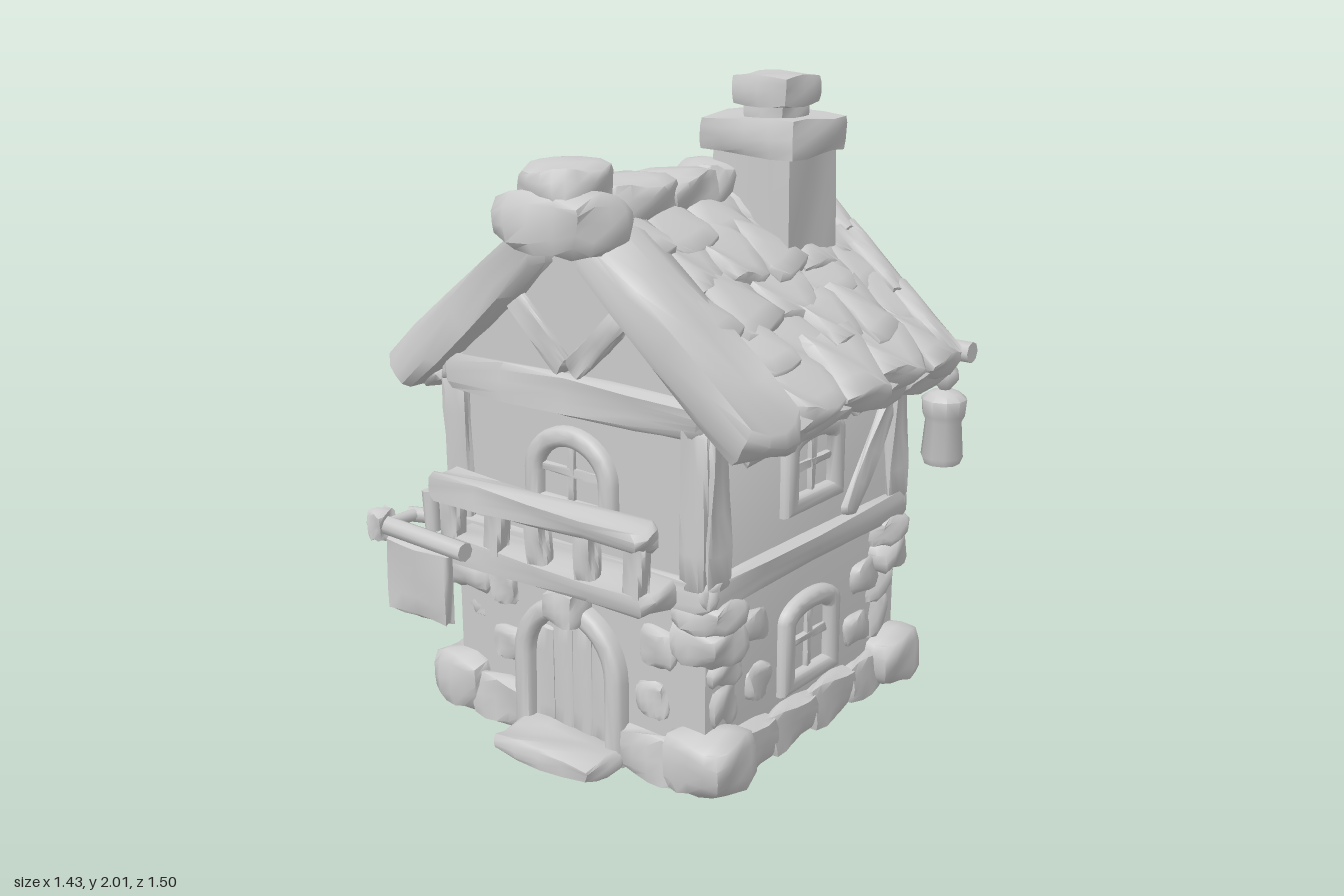
import * as THREE from 'three';
import { toCreasedNormals } from 'three/addons/utils/BufferGeometryUtils.js';

const grey = new THREE.MeshStandardMaterial({ color: 0xcccccc });
let seed = 1;
const rand = () => { // small seeded generator
  seed = (seed * 16807) % 2147483647;
  return seed / 2147483647;
};
const spread = (a) => (rand() * 2 - 1) * a;

function add(parent, name, geo, pos = [0, 0, 0], rot = [0, 0, 0]) {
  const m = new THREE.Mesh(toCreasedNormals(geo, 1), grey);
  m.name = name;
  m.position.set(...pos);
  m.rotation.set(...rot);
  parent.add(m);
  return m;
}

// Hand-hewn block: a box pulled towards a superellipsoid, gently warped
function block(parent, name, size, pos, { r = 0.7, j = 0.012, rot } = {}) {
  const geo = new THREE.BoxGeometry(2, 2, 2, 4, 4, 4);
  const p = geo.attributes.position, s = rand() * 50;
  const warp = Math.min(j, Math.min(...size) * 0.12);
  for (let i = 0; i < p.count; i++) {
    const v = [p.getX(i), p.getY(i), p.getZ(i)];
    const n = Math.pow(v[0] ** 4 + v[1] ** 4 + v[2] ** 4, 0.25);
    const k = 1 - r + r / n;
    const out = v.map((c, a) =>
      c * k * size[a] / 2 + Math.sin(v[0] * 2.1 + v[1] * 1.7 + v[2] * 2.6 + a * 9.2 + s) * warp);
    p.setXYZ(i, ...out);
  }
  return add(parent, name, geo, pos, rot);
}

// Beam between two points of an upright plane
function beam(parent, name, [x1, y1], [x2, y2], z, thick, depth, opt = {}) {
  return block(parent, name, [Math.hypot(x2 - x1, y2 - y1), thick, depth],
    [(x1 + x2) / 2, (y1 + y2) / 2, z],
    { r: 0.4, j: 0.008, ...opt, rot: [0, 0, Math.atan2(y2 - y1, x2 - x1)] });
}

function rod(parent, name, a, b, radius) {
  const from = new THREE.Vector3(...a), to = new THREE.Vector3(...b);
  const m = add(parent, name, new THREE.CylinderGeometry(radius, radius, from.distanceTo(to), 8));
  m.position.copy(from).lerp(to, 0.5);
  m.quaternion.setFromUnitVectors(new THREE.Vector3(0, 1, 0), to.sub(from).normalize());
}

function archPath(path, w, y0, y1, rise) {
  path.moveTo(-w / 2, y0);
  path.lineTo(w / 2, y0);
  path.lineTo(w / 2, y1 - rise);
  path.absellipse(0, y1 - rise, w / 2, rise, 0, Math.PI, false);
  path.closePath();
  return path;
}

function archFrame(parent, name, w, h, rise, border, sill, pos, depth) {
  const b = 0.02;
  const shape = archPath(new THREE.Shape(), w - 2 * b, b, h - b, rise);
  shape.holes.push(archPath(new THREE.Path(), w - 2 * (border - b), sill - b, h - border + b, rise * 0.85));
  add(parent, name, new THREE.ExtrudeGeometry(shape, {
    depth: depth - 2 * b, bevelSize: b, bevelThickness: b, bevelSegments: 2, curveSegments: 8,
  }), pos);
}

function windowUnit(parent, y, w, h, rise) {
  const g = new THREE.Group();
  g.name = 'window';
  g.position.set(0, y, 0);
  parent.add(g);
  archFrame(g, 'windowFrame', w, h, rise, 0.062, 0.055, [0, 0, -0.02], 0.075);
  block(g, 'windowMullion', [0.025, h - 0.1, 0.02], [0, h / 2, 0.005], { r: 0.2, j: 0.002 });
  block(g, 'windowCrossbar', [w - 0.12, 0.025, 0.02], [0, h / 2, 0.005], { r: 0.2, j: 0.002 });
}

function buildWalls(house) {
  const s = new THREE.Shape();
  [[-0.49, 0.01], [0.49, 0.01], [0.49, 1.14], [0, 1.58], [-0.49, 1.14]]
    .forEach(([x, y], i) => (i ? s.lineTo(x, y) : s.moveTo(x, y)));
  add(house, 'wallCore', new THREE.ExtrudeGeometry(s, { depth: 1.03, bevelEnabled: false }), [0, 0, -0.54]);

  // Each face: rotation, centre and half width
  const faces = [
    ['front', 0, [0, 0, 0.49], 0.49], ['leftSide', Math.PI / 2, [0.49, 0, -0.025], 0.515],
    ['back', Math.PI, [0, 0, -0.54], 0.49], ['rightSide', -Math.PI / 2, [-0.49, 0, -0.025], 0.515],
  ];
  for (const [name, turn, pos, half] of faces) {
    const f = new THREE.Group();
    f.name = name + 'Wall';
    f.position.set(...pos);
    f.rotation.y = turn;
    house.add(f);
    const gable = name === 'front' || name === 'back';
    beam(f, 'beltBeam', [-half - 0.035, 0.62], [half + 0.035, 0.62], 0, 0.09, 0.075, { j: 0.005 });
    beam(f, 'topBeam', [-half - 0.02, 1.13], [half + 0.02, 1.13], 0, 0.11, 0.08);
    if (!gable) {
      const d = name === 'leftSide' ? 1 : -1;
      beam(f, 'wallBrace', [d * 0.2, 0.66], [d * 0.47, 1.02], 0.005, 0.07, 0.04);
    } else {
      for (const d of [-1, 1]) beam(f, 'gableBrace', [d * 0.01, 1.2], [d * 0.22, 1.4], 0.005, 0.07, 0.05);
    }
    for (const d of [-1, 1]) beam(f, 'cornerPost', [d * (half - 0.03), 0.62], [d * (half - 0.03), 1.12], 0, 0.09, 0.06);
    windowUnit(f, 0.75, gable ? 0.35 : 0.31, 0.28, gable ? 0.13 : 0.045);
    if (name !== 'front') windowUnit(f, 0.17, 0.31, 0.31, 0.055);

    // Plinth stones and scattered wall stones
    const n = 4, w = (2 * half - 0.16) / n;
    for (let i = 0; i < n; i++) {
      const x = (i - (n - 1) / 2) * w;
      if (name === 'front' && Math.abs(x) < 0.15) continue;
      block(f, 'plinthStone', [w * 1.12, 0.14 + spread(0.015), 0.09], [x, 0.072, 0], { r: 0.5, j: 0.008 });
    }
    for (const [x, y] of [[-0.26, 0.27], [-0.29, 0.46], [0.28, 0.25], [0.31, 0.42]]) {
      block(f, 'wallStone', [0.13 + spread(0.02), 0.11 + spread(0.015), 0.05], [x + spread(0.02), y, 0],
        { r: 1, rot: [0, 0, spread(0.2)] });
    }
  }

  // Stacked corner stones: centre height, height, width, inset from the corner
  for (const sx of [-1, 1]) for (const sz of [-1, 1]) {
    for (const [y, h, w, inset] of [[0.095, 0.185, 0.23, 0], [0.25, 0.15, 0.15, 0.045], [0.36, 0.1, 0.17, 0.045],
      [0.46, 0.12, 0.19, 0.02], [0.55, 0.09, 0.19, 0.02]]) {
      block(house, 'cornerStone', [w, h, w], [sx * (0.475 - inset), y, sz * (0.47 - inset) - 0.025],
        { r: 0.95, j: 0.009, rot: [0, spread(0.15), 0] });
    }
  }
}

function buildDoor(house) {
  archFrame(house, 'doorArch', 0.43, 0.49, 0.2, 0.065, 0.05, [-0.01, 0, 0.46], 0.1);
  for (let i = 0; i < 4; i++) {
    const h = i % 3 ? 0.42 : 0.36;
    block(house, 'doorPlank', [0.077, h, 0.03], [-0.125 + i * 0.077, h / 2 + 0.01, 0.485], { r: 0.15, j: 0.003 });
  }
  block(house, 'keystone', [0.12, 0.1, 0.13], [0, 0.48, 0.52], { r: 0.4, j: 0.006 });
  block(house, 'doorstep', [0.4, 0.055, 0.2], [0.01, 0.032, 0.585], { r: 0.4, j: 0.008 });
}

function buildRoof(house) {
  const roof = new THREE.Group();
  roof.name = 'roof';
  house.add(roof);
  const s = new THREE.Shape();
  [[-0.63, 1.07], [0, 1.6], [0.63, 1.07], [0.64, 1.12], [0, 1.68], [-0.64, 1.12]]
    .forEach(([x, y], i) => (i ? s.lineTo(x, y) : s.moveTo(x, y)));
  add(roof, 'roofBoards', new THREE.ExtrudeGeometry(s, { depth: 1.1, bevelEnabled: false }), [0, 0, -0.6]);

  // Overlapping shingles in staggered rows
  const slope = Math.atan2(0.58, 0.66), rows = 5;
  for (const d of [-1, 1]) {
    for (let row = 0; row < rows; row++) {
      const x = 0.555 - row * 0.115, y = 1.168 + (0.565 - x) * 0.87, n = 5 + (row % 2);
      for (let i = 0; i < n; i++) {
        const w = 1.09 / n;
        block(roof, 'shingle', [0.25 + spread(0.035), 0.085, w * 1.12],
          [d * (x + spread(0.02)), y + spread(0.008), -0.61 + w * (i + 0.5)],
          { r: 0.7, j: 0.01, rot: [spread(0.06), spread(0.2), -d * (slope - 0.08)] });
      }
    }
    // Back verge boards
    for (let i = 0; i < 3; i++) {
      beam(roof, 'backVerge', [d * (0.65 - i * 0.2), 1.1 + i * 0.172], [d * (0.41 - i * 0.2), 1.31 + i * 0.172],
        -0.565, 0.12, 0.1, { r: 0.5 });
    }
    // Thick eave edge
    for (let i = 0; i < 4; i++) {
      block(roof, 'eaveStone', [0.12, 0.09, 0.3], [d * (0.59 + spread(0.01)), 1.1, -0.46 + i * 0.27],
        { r: 0.5, j: 0.008, rot: [0, spread(0.05), -d * 0.6] });
    }
    // Heavy front verge rolls
    beam(roof, 'frontVerge', [d * 0.69, 1.07], [d * 0.08, 1.585], d < 0 ? 0.45 : 0.43, 0.14, 0.27, { r: 0.6, j: 0.012 });
  }

  // Ridge caps and front finial
  for (const [z, l, w, y] of [[-0.56, 0.22, 0.24, 1.635], [-0.36, 0.24, 0.2, 1.64], [-0.15, 0.16, 0.17, 1.665],
    [0, 0.24, 0.19, 1.655], [0.25, 0.32, 0.21, 1.66]]) {
    block(roof, 'ridgeCap', [w, 0.13, l], [0, y, z], { r: 0.7 });
  }
  block(roof, 'ridgeFinial', [0.38, 0.17, 0.28], [-0.01, 1.645, 0.51], { r: 1, j: 0.015 });
  block(roof, 'finialTop', [0.21, 0.13, 0.23], [0, 1.735, 0.5], { r: 0.8 });
}

function buildChimney(house) {
  const g = new THREE.Group();
  g.name = 'chimney';
  g.position.set(0.145, 0, -0.315);
  house.add(g);
  block(g, 'chimneyShaft', [0.29, 0.6, 0.27], [0, 1.49, 0], { r: 0.12, j: 0.006 });
  block(g, 'chimneyCollar', [0.37, 0.115, 0.31], [-0.01, 1.815, 0], { r: 0.3, j: 0.006 });
  block(g, 'chimneyNeck', [0.15, 0.08, 0.15], [0, 1.89, 0], { r: 0.2, j: 0.004 });
  block(g, 'chimneyCap', [0.215, 0.095, 0.205], [0, 1.95, 0], { r: 0.4, j: 0.004 });
}

function buildBalcony(house) {
  const g = new THREE.Group();
  g.name = 'balcony';
  house.add(g);
  block(g, 'balconyFloor', [0.84, 0.075, 0.19], [0, 0.618, 0.58], { r: 0.3, j: 0.006 });
  beam(g, 'balconyRail', [-0.43, 0.815], [0.425, 0.815], 0.64, 0.075, 0.11);
  for (let i = 0; i < 5; i++) {
    const x = -0.36 + i * 0.18;
    beam(g, 'baluster', [x, 0.63], [x + spread(0.015), 0.81], 0.64, 0.06, 0.06);
  }
}

function buildSign(house) {
  const g = new THREE.Group();
  g.name = 'hangingSign';
  house.add(g);
  rod(g, 'signPole', [-0.64, 0.655, 0.71], [-0.24, 0.645, 0.71], 0.03);
  block(g, 'poleKnob', [0.06, 0.09, 0.08], [-0.6, 0.655, 0.71]);
  rod(g, 'signBracket', [-0.57, 0.66, 0.71], [-0.57, 0.66, 0.6], 0.02);
  rod(g, 'bracketArm', [-0.59, 0.66, 0.61], [-0.44, 0.64, 0.5], 0.025);
  rod(g, 'bracketPeg', [-0.5, 0.62, 0.59], [-0.51, 0.75, 0.59], 0.025);
  block(g, 'signBoard', [0.26, 0.23, 0.04], [-0.44, 0.505, 0.71], { r: 0.2, j: 0.008 });
}

function buildLantern(house) {
  const g = new THREE.Group();
  g.name = 'lantern';
  house.add(g);
  rod(g, 'lanternArm', [0.43, 1.12, -0.68], [0.67, 1.12, -0.68], 0.035);
  rod(g, 'armBracket', [0.46, 1.12, -0.52], [0.46, 1.12, -0.69], 0.03);
  const profile = [[0, 0.73], [0.06, 0.735], [0.07, 0.76], [0.06, 0.88], [0.07, 0.9], [0.075, 0.955],
    [0.05, 0.975], [0.018, 0.985], [0.045, 1.02], [0.042, 1.05], [0.018, 1.085], [0, 1.12]];
  add(g, 'lanternBody', new THREE.LatheGeometry(profile.map((p) => new THREE.Vector2(...p)), 10), [0.58, 0, -0.675]);
}

export function createModel() {
  seed = 7;
  const house = new THREE.Group();
  house.name = 'cottage';
  [buildWalls, buildDoor, buildRoof, buildChimney, buildBalcony, buildSign, buildLantern].forEach((f) => f(house));
  return house;
}
